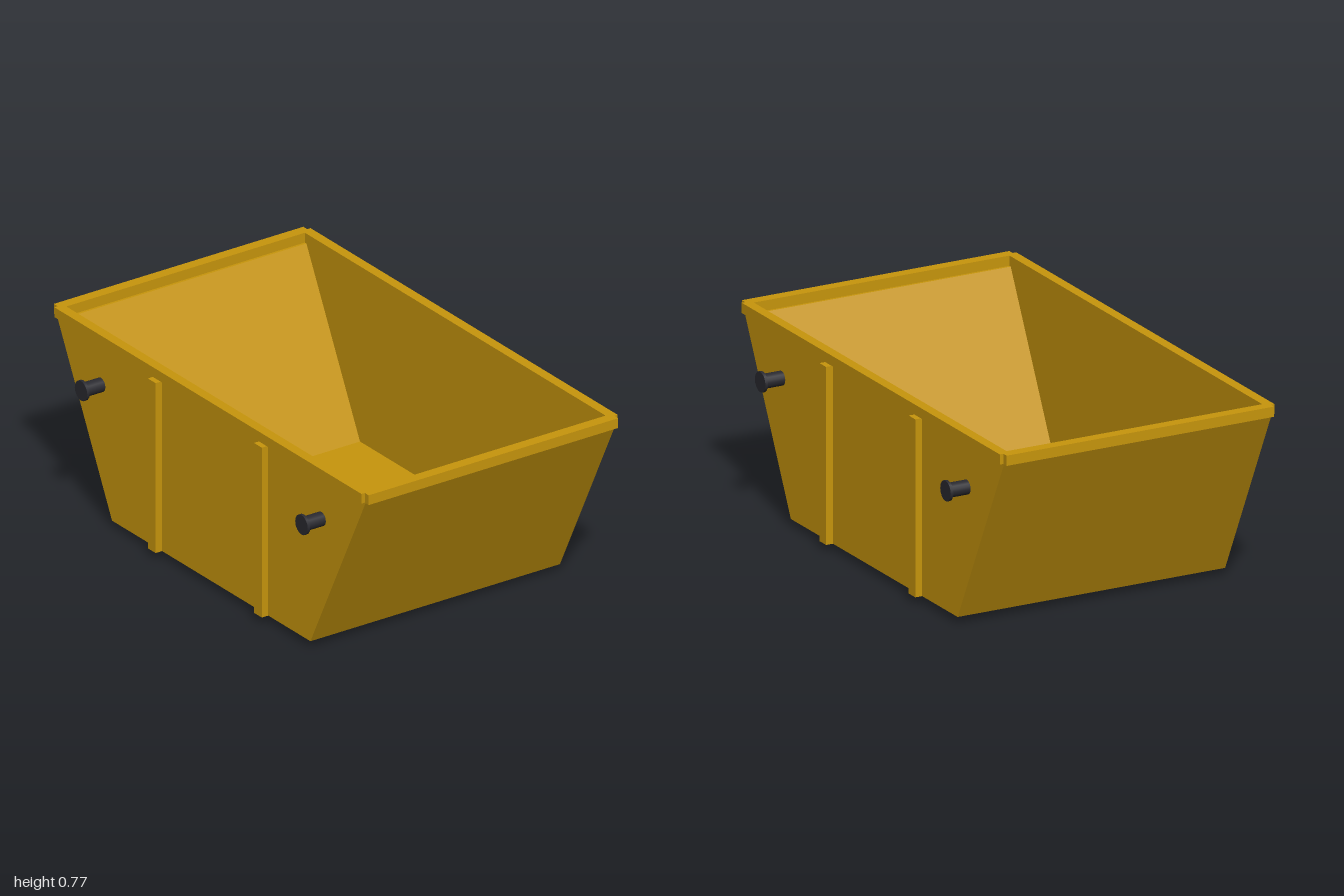
import * as THREE from 'three';

const yellow = new THREE.MeshStandardMaterial({ color: 0xc8960c });
yellow.name = 'yellow paint';
const dark = new THREE.MeshStandardMaterial({ color: 0x2a2a30 });
dark.name = 'dark steel';

export function createModel() {
  const skip = new THREE.Group();
  skip.name = 'skipContainer';

  const add = (name, geometry, material, x, y, z) => {
    const mesh = new THREE.Mesh(geometry, material);
    mesh.name = name;
    mesh.position.set(x, y, z);
    skip.add(mesh);
    return mesh;
  };
  const box = (name, material, [w, h, d], [x, y, z]) =>
    add(name, new THREE.BoxGeometry(w, h, d), material, x, y, z);

  // Extrudes a (z, y) outline across x, centred on x = 0
  const acrossX = (points, width) => {
    const shape = new THREE.Shape(points.map(([z, y]) => new THREE.Vector2(z, y)));
    return new THREE.ExtrudeGeometry(shape, { depth: width, bevelEnabled: false })
      .translate(0, 0, -width / 2)
      .rotateY(-Math.PI / 2);
  };

  // Floor and sloping ends as one folded plate
  const fold = [
    [-0.63, 0.028], [0.63, 0.028], [0.98, 0.73], [0.945, 0.73],
    [0.605, 0.053], [-0.605, 0.053], [-0.945, 0.73], [-0.98, 0.73],
  ];
  add('floorAndEnds', acrossX(fold, 1.08), yellow, 0, 0, 0);

  // End rims
  for (const s of [1, -1]) {
    box('endRim', yellow, [1.13, 0.04, 0.045], [0, 0.75, s * 0.9775]);
  }

  const sideOutline = [[-0.63, 0.028], [0.63, 0.028], [0.98, 0.73], [-0.98, 0.73]];
  for (const s of [1, -1]) {
    // Side plate and its rim
    add('sidePlate', acrossX(sideOutline, 0.025), yellow, s * 0.5525, 0, 0);
    box('sideRim', yellow, [0.04, 0.04, 1.95], [s * 0.56, 0.75, 0]);

    for (const t of [1, -1]) {
      // Upright stiffening rib
      box('sideRib', yellow, [0.03, 0.695, 0.05], [s * 0.579, 0.3755, t * 0.337]);

      // Lifting pin with end flange
      const pin = add('liftingPin', new THREE.CylinderGeometry(0.028, 0.028, 0.085, 16), dark,
        s * 0.605, 0.557, t * 0.7);
      const flange = add('pinFlange', new THREE.CylinderGeometry(0.04, 0.04, 0.011, 16), dark,
        s * 0.65, 0.557, t * 0.7);
      pin.rotation.z = flange.rotation.z = Math.PI / 2;
    }
  }

  // Skids under the floor
  for (const t of [1, -1]) {
    box('skid', dark, [1.012, 0.028, 0.064], [0, 0.014, t * 0.361]);
  }

  return skip;
}
